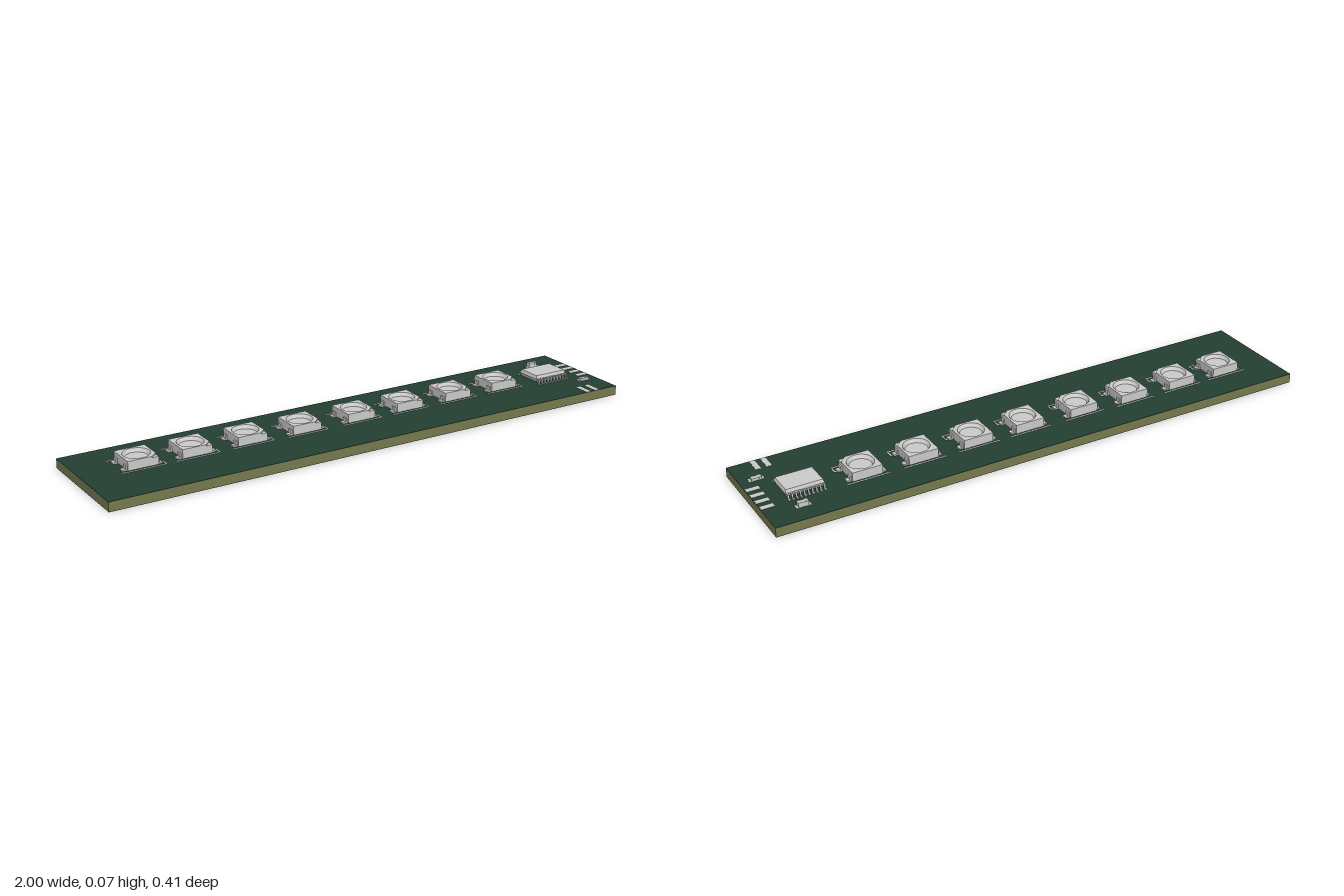
import * as THREE from 'three';

const grey = new THREE.MeshStandardMaterial({ color: 0xcccccc });
const green = new THREE.MeshStandardMaterial({ color: 0x233f31 });
const tan = new THREE.MeshStandardMaterial({ color: 0x77794f });
const TOP = 0.034;

// Box given by its centre in plan, its bottom height and its size
function box(parent, name, x, y, z, w, h, d, mat = grey) {
  const m = new THREE.Mesh(new THREE.BoxGeometry(w, h, d), mat);
  m.name = name;
  m.position.set(x, y + h / 2, z);
  parent.add(m);
  return m;
}

// Horizontal slab from an outline (shape y becomes -z)
function slab(parent, name, shape, y, h) {
  const g = new THREE.ExtrudeGeometry(shape, { depth: h, bevelEnabled: false, curveSegments: 24 });
  g.rotateX(-Math.PI / 2);
  const m = new THREE.Mesh(g, grey);
  m.name = name;
  m.position.y = y;
  parent.add(m);
}

// Square outline with a round hole; cut trims the front left corner
function frameShape(s, r, cut) {
  const shape = new THREE.Shape();
  shape.moveTo(-s, -s);
  shape.lineTo(s - cut, -s);
  if (cut) shape.lineTo(s, -s + cut);
  else shape.lineTo(s, -s + 0.001);
  shape.lineTo(s, s);
  shape.lineTo(-s, s);
  shape.closePath();
  const hole = new THREE.Path();
  hole.absarc(0, 0, r, 0, Math.PI * 2, true);
  shape.holes.push(hole);
  return shape;
}

// Square light package with a round recessed window
function makeLed() {
  const led = new THREE.Group();
  led.name = 'led';
  const s = 0.054, r = 0.046;
  box(led, 'ledBase', 0, TOP + 0.002, 0, 2 * s, 0.018, 2 * s);
  slab(led, 'ledBody', frameShape(s, r, 0), 0.054, 0.009);
  slab(led, 'ledRim', frameShape(s, r, 0.024), 0.063, 0.005);
  const cup = new THREE.Mesh(new THREE.LatheGeometry(
    [[0, 0.056], [0.038, 0.056], [r, 0.068]].map(p => new THREE.Vector2(...p)), 32), grey.clone());
  cup.material.side = THREE.DoubleSide;
  cup.material.flatShading = true;
  cup.name = 'ledWindow';
  led.add(cup);
  // Folded contacts at the four corners
  for (const sx of [-1, 1]) for (const sz of [-1, 1]) {
    box(led, 'ledFoot', sx * 0.059, TOP, sz * 0.036, 0.022, 0.005, 0.02);
    box(led, 'ledContact', sx * 0.056, TOP, sz * 0.036, 0.006, 0.018, 0.018);
  }
  // Printed placement lines
  for (const z of [-0.06, 0.06]) box(led, 'printedLine', 0, TOP, z, 0.155, 0.001, 0.004);
  box(led, 'printedMark', 0.077, TOP, 0.046, 0.004, 0.001, 0.028);
  box(led, 'printedMark', 0.069, TOP, 0.034, 0.018, 0.001, 0.004);
  return led;
}

// Driver chip with bevelled body and bent legs
function makeChip() {
  const chip = new THREE.Group();
  chip.name = 'chip';
  const w = 0.068, d = 0.048;
  const body = new THREE.BoxGeometry(2 * w, 0.025, 2 * d, 1, 2, 1).toNonIndexed();
  const p = body.attributes.position;
  for (let i = 0; i < p.count; i++) {
    if (Math.abs(p.getY(i)) > 0.005) {
      p.setX(i, p.getX(i) - Math.sign(p.getX(i)) * 0.004);
      p.setZ(i, p.getZ(i) - Math.sign(p.getZ(i)) * 0.004);
    }
  }
  body.computeVertexNormals();
  const b = new THREE.Mesh(body, grey);
  b.name = 'chipBody';
  b.position.y = 0.0495;
  chip.add(b);
  // Leg profile: along the outward direction and height
  const leg = new THREE.Shape([
    [0.044, 0.051], [0.044, 0.047], [0.054, 0.047], [0.057, 0.034], [0.071, 0.034],
    [0.071, 0.037], [0.060, 0.037], [0.058, 0.051]
  ].map(q => new THREE.Vector2(...q)));
  const legGeo = new THREE.ExtrudeGeometry(leg, { depth: 0.006, bevelEnabled: false });
  legGeo.translate(0, 0, -0.003);
  for (const side of [-1, 1]) for (let i = 0; i < 10; i++) {
    const m = new THREE.Mesh(legGeo, grey);
    m.name = 'chipLeg';
    m.rotation.y = side * Math.PI / 2;
    m.position.x = (i - 4.5) * 0.0139;
    chip.add(m);
  }
  return chip;
}

// Small two-ended part with raised end caps
function makePassive(name, h) {
  const part = new THREE.Group();
  part.name = name;
  box(part, name + 'Body', 0, TOP, 0, 0.024, h - 0.001, 0.016);
  for (const s of [-1, 1]) {
    box(part, name + 'Cap', s * 0.013, TOP, 0, 0.009, h, 0.017);
    box(part, name + 'Pad', s * 0.019, TOP, 0, 0.013, 0.0015, 0.02);
  }
  return part;
}

export function createModel() {
  const root = new THREE.Group();
  root.name = 'lightStripBoard';

  // Board core with coated faces
  box(root, 'boardCore', 0, 0.001, 0, 2, TOP - 0.002, 0.414, tan);
  box(root, 'topCoating', 0, TOP - 0.001, 0, 2, 0.001, 0.414, green);
  box(root, 'bottomCoating', 0, 0, 0, 2, 0.001, 0.414, green);

  // Row of eight lights
  [-0.795, -0.603, -0.4, -0.195, 0.02, 0.22, 0.425, 0.628].forEach((x, i) => {
    const led = makeLed();
    led.position.set(x, 0, i < 3 ? -0.036 : -0.03);
    root.add(led);
  });

  const chip = makeChip();
  chip.position.set(0.837, 0, -0.015);
  root.add(chip);

  const capacitor = makePassive('capacitor', 0.018);
  capacitor.position.set(0.875, 0, -0.13);
  root.add(capacitor);
  const resistor = makePassive('resistor', 0.01);
  resistor.position.set(0.942, 0, 0.092);
  root.add(resistor);

  // Solder pads at the end and the front edge
  for (let i = 0; i < 4; i++) box(root, 'endPad', 0.975, TOP, -0.08 + i * 0.04, 0.046, 0.001, 0.018);
  for (const x of [0.873, 0.911]) box(root, 'frontPad', x, TOP, 0.176, 0.018, 0.001, 0.06);

  return root;
}
